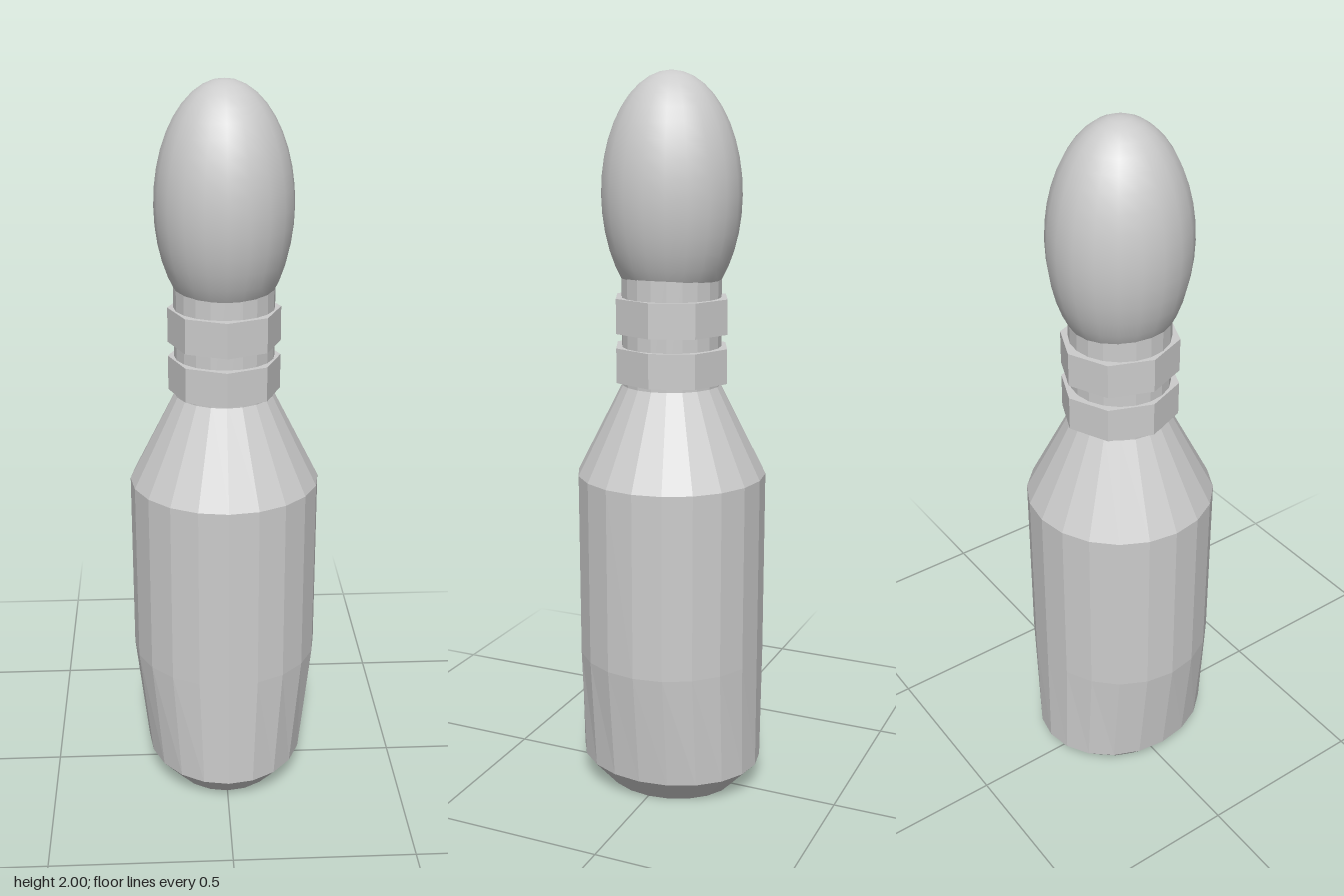
import * as THREE from 'three';

const SIDES = 20;
const flat = new THREE.MeshStandardMaterial({ color: 0xcccccc, flatShading: true });
const smooth = new THREE.MeshStandardMaterial({ color: 0xcccccc });

function add(group, name, geometry, material, y = 0) {
  const mesh = new THREE.Mesh(geometry, material);
  mesh.name = name;
  mesh.position.y = y;
  group.add(mesh);
  return mesh;
}

export function createModel() {
  const model = new THREE.Group();
  model.name = 'pin';

  // Faceted body: chamfered foot, straight wall, sloping shoulder
  const profile = [
    [0, 0], [0.19, 0], [0.262, 0.075], [0.262, 0.4], [0.262, 0.92], [0.13, 1.18], [0, 1.18],
  ].map(([r, y]) => new THREE.Vector2(r, y));
  const body = new THREE.LatheGeometry(profile, SIDES);
  // The foot narrows from side to side only
  const pos = body.attributes.position;
  for (let i = 0; i < pos.count; i++) {
    if (pos.getY(i) < 0.1) pos.setX(i, pos.getX(i) * 0.86);
  }
  body.computeVertexNormals();
  add(model, 'body', body, flat);

  // Neck
  add(model, 'neck', new THREE.CylinderGeometry(0.136, 0.136, 0.32, SIDES), flat, 1.33);

  // Two eight-sided collars, slightly narrower from side to side
  for (const [name, y] of [['lowerCollar', 1.228], ['upperCollar', 1.362]]) {
    const collar = add(model, name, new THREE.CylinderGeometry(0.163, 0.163, 0.095, 8), flat, y);
    collar.scale.x = 0.935;
  }

  // Smooth egg-shaped head
  const head = new THREE.SphereGeometry(1, SIDES, 20);
  head.scale(0.184, 0.32, 0.19);
  add(model, 'head', head, smooth, 1.68);

  return model;
}
